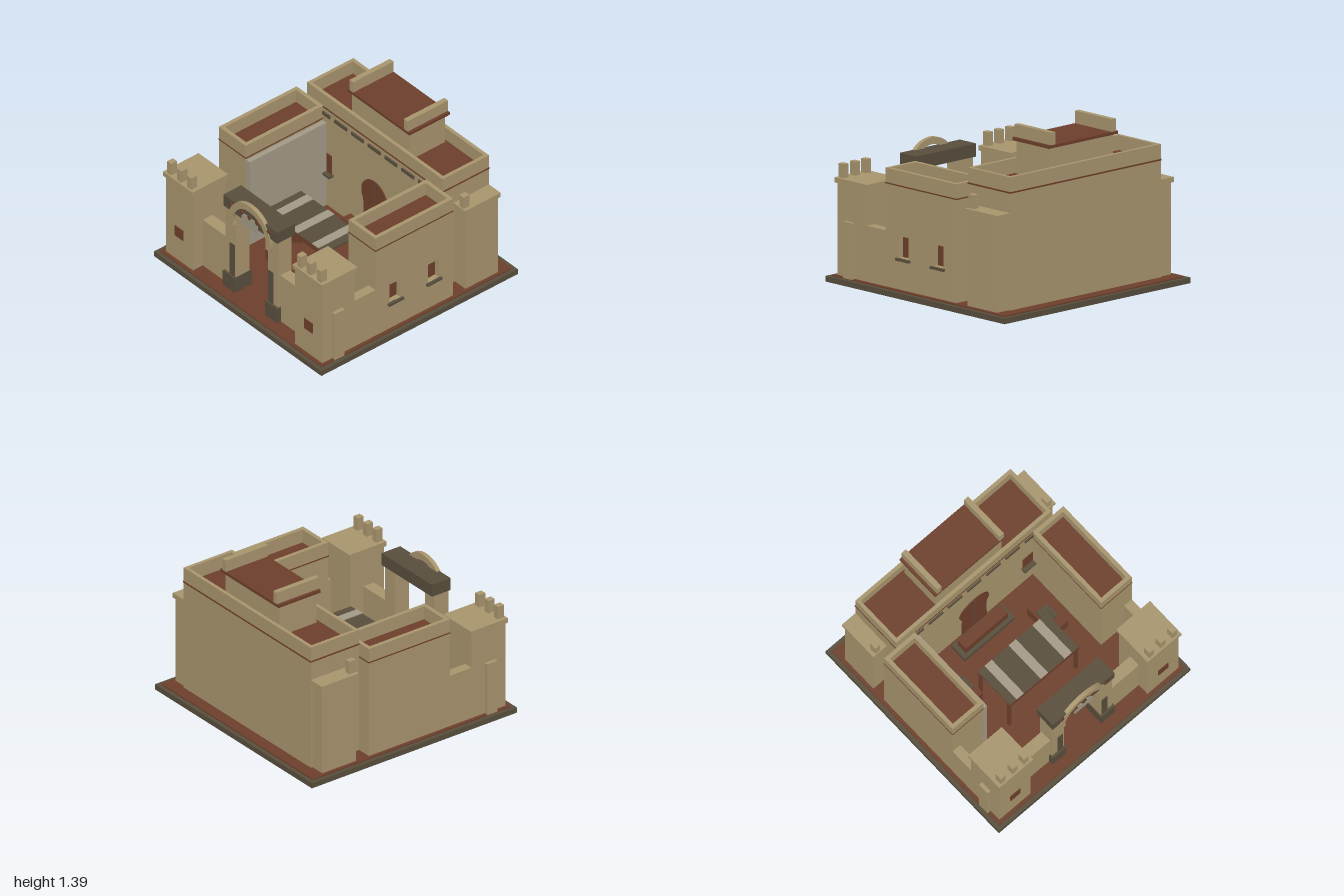
import * as THREE from 'three';

const mat = (name, color) => {
  const m = new THREE.MeshStandardMaterial({ color });
  m.name = name;
  return m;
};

export function createModel() {
  const root = new THREE.Group();
  root.name = 'courtyardFort';
  const tan = mat('sandstone', 0xa8956e);
  const clay = mat('red clay', 0x6d3f2b);
  const dark = mat('dark timber', 0x584e3c);
  const grey = mat('pale cloth', 0xa39a87);

  const add = (name, geo, m) => {
    const mesh = new THREE.Mesh(geo, m);
    mesh.name = name;
    root.add(mesh);
    return mesh;
  };
  // Box from min and max bounds
  const box = (name, m, x0, x1, y0, y1, z0, z1) => {
    const g = new THREE.BoxGeometry(Math.abs(x1 - x0), y1 - y0, z1 - z0);
    g.translate((x0 + x1) / 2, (y0 + y1) / 2, (z0 + z1) / 2);
    return add(name, g, m);
  };
  // Rectangle path in the shape plane
  const rect = (P, a0, a1, b0, b1) => {
    const p = new P();
    p.moveTo(a0, b0).lineTo(a1, b0).lineTo(a1, b1).lineTo(a0, b1).closePath();
    return p;
  };
  const extrude = (shape, depth) =>
    new THREE.ExtrudeGeometry(shape, { depth, bevelEnabled: false, curveSegments: 20 });
  // Hollow rectangular parapet around a roof
  const parapet = (name, x0, x1, y0, y1, z0, z1, t) => {
    const s = rect(THREE.Shape, x0, x1, -z1, -z0);
    s.holes.push(rect(THREE.Path, x0 + t, x1 - t, -z1 + t, -z0 - t));
    const g = extrude(s, y1 - y0);
    g.rotateX(-Math.PI / 2);
    g.translate(0, y0, 0);
    add(name, g, tan);
  };

  // Base and courtyard floor
  box('base', dark, -1, 1, 0, 0.045, -1, 1);
  box('courtyardFloor', clay, -0.965, 0.965, 0.045, 0.055, -0.965, 0.965);

  // Rear hall with roof slab, parapet and upper room
  box('rearHall', tan, -0.81, 0.81, 0.05, 0.985, -0.866, -0.395);
  box('rearRoof', clay, -0.814, 0.814, 0.985, 0.997, -0.87, -0.391);
  parapet('rearParapet', -0.81, 0.81, 0.997, 1.115, -0.866, -0.395, 0.03);
  box('upperRoom', tan, -0.345, 0.345, 0.997, 1.265, -0.815, -0.455);
  box('upperRoof', clay, -0.37, 0.37, 1.265, 1.29, -0.843, -0.432);
  for (let i = -3; i <= 3; i++)
    box('roofBeam', dark, i * 0.2 - 0.072, i * 0.2 + 0.072, 0.92, 0.95, -0.4, -0.383);

  for (const s of [-1, 1]) {
    box('upperParapet', tan, s * 0.303, s * 0.347, 1.29, 1.39, -0.843, -0.432);

    // Side wing; the left one has recessed windows
    const wx = s > 0 ? [0.615, 0.885] : [-0.935, -0.615];
    box('wing', tan, wx[0], wx[1], 0.05, 0.875, -0.395, 0.395);
    const rx = s > 0 ? [0.615, 0.935] : [-0.935, -0.615];
    box('wingRoof', clay, rx[0] - 0.003, rx[1] + 0.003, 0.875, 0.885, -0.398, 0.398);
    parapet('wingParapet', rx[0], rx[1], 0.885, 1.0, -0.395, 0.395, 0.033);

    // Low linking wall
    box('lowWall', tan, s * 0.855, s * 0.935, 0.05, 0.5, 0.39, 0.61);
    // Front wall
    box('frontWall', tan, s * 0.29, s * 0.967, 0.05, 0.5, 0.735, 0.835);

    // Corner towers with caps and merlons
    for (const [z0, z1, mz] of [[0.605, 0.935, 0.905], [-0.85, -0.52, -0.543]]) {
      box('tower', tan, s * 0.61, s * 0.935, 0.05, 0.79, z0, z1);
      box('towerCap', tan, s * 0.597, s * 0.95, 0.79, 0.83, z0 - 0.016, z1 + 0.016);
      for (const mx of mz > 0 ? [0.655, 0.773, 0.895] : [0.895])
        box('merlon', tan, s * mx - 0.025, s * mx + 0.025, 0.83, 0.94, mz - 0.03, mz + 0.03);
    }
    box('towerWindow', clay, s * 0.722, s * 0.822, 0.28, 0.375, 0.934, 0.942);

    // Courtyard window on the rear hall
    box('courtWindow', clay, s * 0.51, s * 0.61, 0.39, 0.565, -0.397, -0.389);
    box('courtSill', dark, s * 0.495, s * 0.614, 0.37, 0.39, -0.397, -0.35);

    // Low table with goods
    box('table', clay, s * 0.36, s * 0.525, 0.055, 0.19, -0.18, 0.11);
    for (let i = -1; i <= 1; i++)
      box('goods', dark, s * 0.44 + i * 0.038 - 0.018, s * 0.44 + i * 0.038 + 0.018,
        0.19, 0.215, -0.1, 0.03);

    // Gate column with plinth and inlay
    box('gateColumn', tan, s * 0.19, s * 0.315, 0.19, 0.835, 0.72, 0.855);
    box('gatePlinth', dark, s * 0.183, s * 0.325, 0.05, 0.195, 0.7, 0.875);
    box('columnInlay', dark, s * 0.203, s * 0.257, 0.195, 0.5, 0.85, 0.862);

    // Canopy posts
    for (const z of [0.07, 0.4])
      box('canopyPost', clay, s * 0.335, s * 0.36, 0.055, 0.5, z - 0.012, z + 0.012);
  }

  // Window wall of the left wing
  const wall = rect(THREE.Shape, -0.395, 0.395, 0.05, 0.875);
  for (const z of [-0.195, 0.195]) {
    wall.holes.push(rect(THREE.Path, z - 0.056, z + 0.056, 0.305, 0.48));
    box('sideWindow', clay, 0.884, 0.889, 0.305, 0.48, z - 0.056, z + 0.056);
    box('sideSill', dark, 0.93, 0.957, 0.285, 0.305, z - 0.075, z + 0.075);
  }
  const wallGeo = extrude(wall, 0.05);
  wallGeo.rotateY(-Math.PI / 2);
  wallGeo.translate(0.935, 0, 0);
  add('windowWall', wallGeo, tan);

  // Pale hanging along the right wing
  box('wallHanging', grey, -0.615, -0.572, 0.055, 0.86, -0.39, 0.39);

  // Horseshoe door with seam and step
  const door = new THREE.Shape();
  door.moveTo(-0.13, 0.055).lineTo(0.13, 0.055).lineTo(0.125, 0.33);
  door.absarc(0, 0.465, 0.153, -0.5, Math.PI + 0.5, false);
  door.lineTo(-0.125, 0.33).closePath();
  const doorGeo = extrude(door, 0.009);
  doorGeo.translate(0, 0, -0.396);
  add('door', doorGeo, clay);
  box('doorSeam', dark, -0.004, 0.004, 0.055, 0.6, -0.388, -0.385);
  box('stepBase', dark, -0.26, 0.26, 0.05, 0.11, -0.365, -0.21);
  box('stepBlock', clay, -0.22, 0.22, 0.11, 0.21, -0.333, -0.242);

  // Striped market canopy
  box('canopy', dark, -0.358, 0.358, 0.522, 0.54, 0.05, 0.42);
  for (const x of [-0.252, 0, 0.248])
    box('canopyStripe', grey, x - 0.038, x + 0.038, 0.538, 0.545, 0.049, 0.421);
  for (const z of [0.06, 0.405])
    box('canopyBeam', clay, -0.362, 0.362, 0.495, 0.535, z - 0.01, z + 0.018);

  // Gate lintel, arch, plaque and diamond studs
  box('gateLintel', dark, -0.322, 0.322, 0.83, 0.935, 0.69, 0.872);
  const arch = new THREE.Shape();
  const [r1, r0, e] = [0.25, 0.195, 0.25];
  arch.absarc(0, 0.76, r1, -e, Math.PI + e, false);
  arch.absarc(0, 0.76, r0, Math.PI + e, -e, true);
  arch.closePath();
  const archGeo = extrude(arch, 0.035);
  archGeo.translate(0, 0, 0.846);
  add('gateArch', archGeo, tan);
  box('plaque', grey, -0.095, 0.095, 0.785, 0.895, 0.87, 0.879);
  for (const [x, y] of [[0, 0.9], [-0.09, 0.9], [0.09, 0.9], [-0.23, 0.9], [0.23, 0.9]]) {
    const stud = add('stud', new THREE.BoxGeometry(0.035, 0.035, 0.008), clay);
    stud.position.set(x, y, 0.88);
    stud.rotation.z = Math.PI / 4;
  }
  return root;
}
